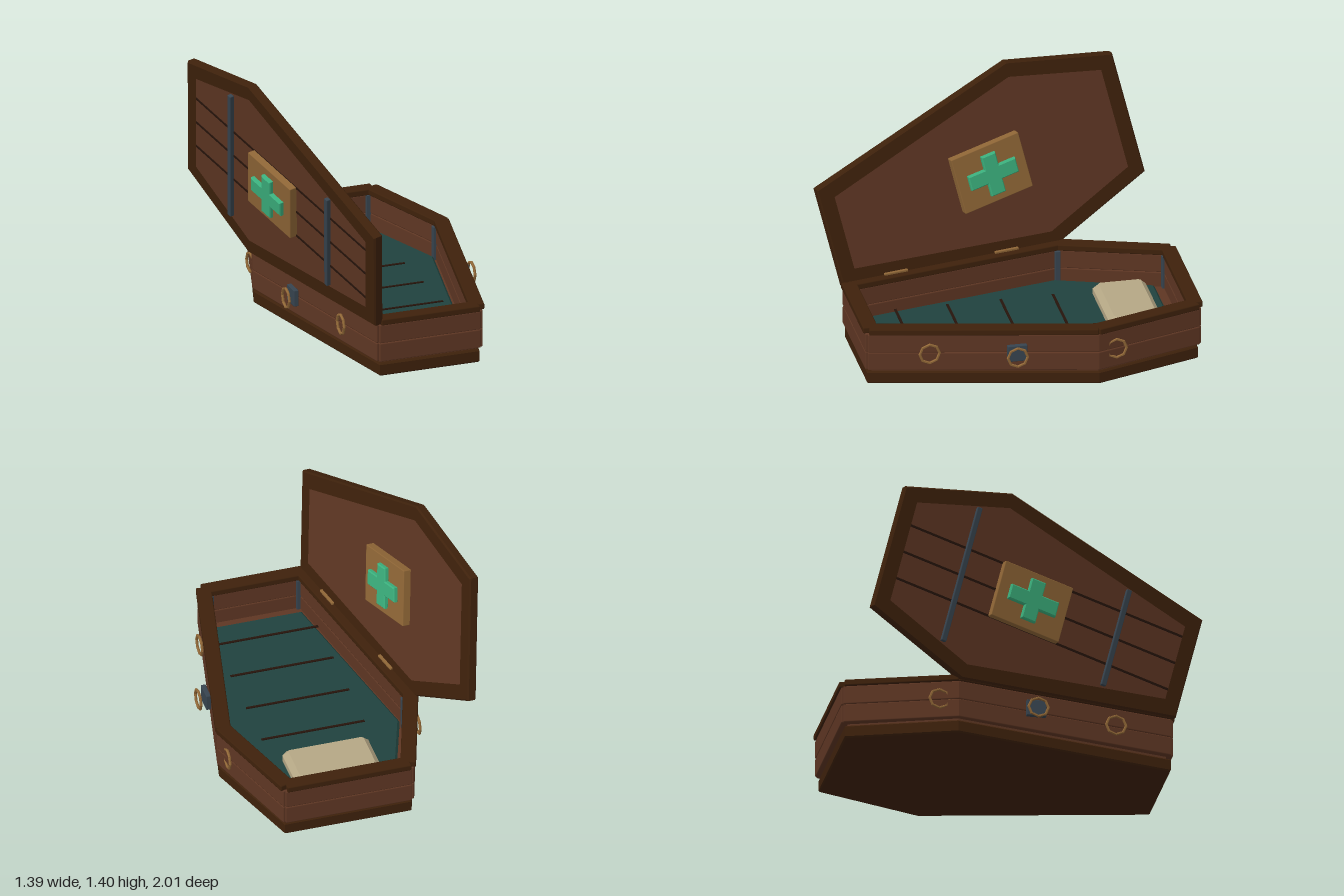
import * as THREE from 'three';
import { RoundedBoxGeometry } from 'three/addons/geometries/RoundedBoxGeometry.js';

const mat = (name, color) => Object.assign(new THREE.MeshStandardMaterial({ color }), { name });
const wood = mat('brown wood', 0x5e3623);
const darkWood = mat('dark wood', 0x3e210b);
const groove = mat('groove', 0x26140b);
const lining = mat('teal lining', 0x20423e);
const linen = mat('linen', 0xb5a785);
const steel = mat('steel', 0x37444f);
const brass = mat('brass', 0x8f6636);
const green = mat('green', 0x3bb07d);

const CX = 0.115; // the box stands off centre so that the open lid fits

// Six-sided outline as [x, z]: head, shoulder and foot half widths and depths
function hexagon(head, headZ, shoulder, shoulderZ, foot, footZ) {
  return [[head, headZ], [shoulder, shoulderZ], [foot, footZ],
    [-foot, footZ], [-shoulder, shoulderZ], [-head, headZ]];
}

function toShape(points, Kind = THREE.Shape) {
  return new Kind(points.map(([x, z]) => new THREE.Vector2(x, -z)));
}

function add(parent, name, geometry, material, x = 0, y = 0, z = 0) {
  const mesh = new THREE.Mesh(geometry, material);
  mesh.name = name;
  mesh.position.set(x, y, z);
  parent.add(mesh);
  return mesh;
}

// Horizontal slab from y0 to y1 with a small bevel inside its outline
function slab(parent, name, shape, y0, y1, material, bevel = 0.008) {
  const geometry = new THREE.ExtrudeGeometry(shape, {
    depth: y1 - y0 - 2 * bevel, bevelEnabled: bevel > 0, bevelSize: bevel,
    bevelThickness: bevel, bevelOffset: -bevel, bevelSegments: 1,
  });
  geometry.rotateX(-Math.PI / 2);
  return add(parent, name, geometry, material, 0, y0 + bevel, 0);
}

function block(parent, name, w, h, d, material, x, y, z, bevel = 0.005) {
  return add(parent, name, new RoundedBoxGeometry(w, h, d, 1, bevel), material, x, y, z);
}

// One straight bar along each edge of an outline
function barRing(parent, name, points, width, y0, y1, material, extra = 0) {
  points.forEach(([x, z], i) => {
    const [x2, z2] = points[(i + 1) % points.length];
    const length = Math.hypot(x2 - x, z2 - z) + extra;
    const bar = block(parent, name, width, y1 - y0, length, material,
      (x + x2) / 2, (y0 + y1) / 2, (z + z2) / 2, 0.007);
    bar.rotation.y = Math.atan2(x2 - x, z2 - z);
  });
}

function buildBox() {
  const box = new THREE.Group();
  box.name = 'box';
  box.position.x = CX;
  const wall = hexagon(0.345, -0.957, 0.533, -0.375, 0.28, 0.835);

  // Plinth, floor and plank walls
  slab(box, 'plinth', toShape(hexagon(0.36, -0.97, 0.557, -0.38, 0.29, 0.855)), 0, 0.073, darkWood);
  slab(box, 'floor', toShape(hexagon(0.345, -0.95, 0.54, -0.375, 0.28, 0.83)), 0.07, 0.11, wood, 0);
  barRing(box, 'lowerPlank', wall, 0.065, 0.088, 0.196, wood, 0.03);
  barRing(box, 'upperPlank', wall, 0.065, 0.196, 0.304, wood, 0.03);
  barRing(box, 'rim', wall, 0.085, 0.303, 0.339, darkWood, 0.015);

  // Posts in the inner corners
  for (const [x, z] of hexagon(0.315, -0.928, 0.493, -0.372, 0.25, 0.803)) {
    block(box, 'cornerPost', 0.03, 0.2, 0.03, steel, x, 0.205, z);
  }

  // Mattress with its seams
  slab(box, 'mattress', toShape(hexagon(0.3, -0.87, 0.478, -0.35, 0.248, 0.738)), 0.11, 0.14, lining, 0.012);
  for (const z of [-0.303, -0.012, 0.285, 0.575]) {
    add(box, 'seam', new THREE.BoxGeometry(0.585, 0.006, 0.014), groove, 0, 0.142, z);
  }

  // Pillow with cut corners and sloping sides
  const pillow = [[0.215, -0.803], [0.244, -0.776], [0.244, -0.535], [0.215, -0.508],
    [-0.215, -0.508], [-0.244, -0.535], [-0.244, -0.776], [-0.215, -0.803]];
  slab(box, 'pillow', toShape(pillow), 0.13, 0.225, linen, 0.03);

  // Ring handles on both long sides, the middle one on a plate
  for (const side of [1, -1]) {
    for (const [x, z] of [[0.395, 0.53], [0.54, 0.07], [0.54, -0.48]]) {
      const torus = new THREE.TorusGeometry(0.055, 0.008, 6, 8).toNonIndexed();
      torus.computeVertexNormals();
      const ring = add(box, 'ringHandle', torus, brass, side * x, 0.198, z);
      ring.rotation.y = Math.PI / 2;
    }
    block(box, 'handlePlate', 0.028, 0.095, 0.11, steel, side * 0.498, 0.207, 0.065);
  }
  return box;
}

function buildLid(outline) {
  const lid = new THREE.Group();
  lid.name = 'lid';

  // Frame around a panel that shows on both faces
  const inner = hexagon(0.303, -0.9, 0.483, -0.37, 0.226, 0.785);
  const frame = toShape(outline);
  frame.holes.push(toShape(inner, THREE.Path));
  slab(lid, 'lidFrame', frame, -0.0275, 0.0275, darkWood);
  slab(lid, 'lidPanel', toShape(hexagon(0.335, -0.945, 0.525, -0.372, 0.265, 0.83)), -0.021, 0.021, wood, 0);

  // Board joints and steel straps on the outer face
  for (const x of [-0.16, 0, 0.16]) {
    add(lid, 'boardJoint', new THREE.BoxGeometry(0.012, 0.006, 1.69), groove, x, 0.022, -0.057);
  }
  for (const [z, length] of [[-0.54, 0.81], [0.41, 0.58]]) {
    block(lid, 'strap', length, 0.026, 0.03, steel, 0, 0.034, z);
  }

  // Plaque and raised cross on each face
  const a = 0.043, w = 0.12, l = 0.145;
  const cross = [[a, -l], [a, -a], [w, -a], [w, a], [a, a], [a, l],
    [-a, l], [-a, a], [-w, a], [-w, -a], [-a, -a], [-a, -l]];
  for (const side of [1, -1]) {
    block(lid, 'plaque', 0.33, 0.05, 0.415, brass, 0, side * 0.04, -0.118);
    slab(lid, 'cross', toShape(cross), side * 0.075 - 0.015, side * 0.075 + 0.015, green, 0.006).position.z = -0.118;
  }
  return lid;
}

export function createModel() {
  const model = new THREE.Group();
  model.name = 'casket';
  model.add(buildBox());

  // The lid swings about the long edge on the right side
  const outline = hexagon(0.363, -0.98, 0.562, -0.378, 0.297, 0.865);
  const lidX = CX + 0.022, hingeY = 0.314;
  const foot = new THREE.Vector3(lidX + outline[3][0], hingeY, outline[3][1]);
  const shoulder = new THREE.Vector3(lidX + outline[4][0], hingeY, outline[4][1]);
  const axis = foot.clone().sub(shoulder).normalize();
  const pivot = new THREE.Group();
  pivot.name = 'lidPivot';
  pivot.position.copy(foot);
  pivot.quaternion.setFromAxisAngle(axis, 1.71);
  const lid = buildLid(outline);
  lid.position.set(lidX, hingeY + 0.0275, 0).sub(foot);
  pivot.add(lid);
  model.add(pivot);

  // Upright hinge leaves against the foot of the lid
  for (const z of [0.56, -0.085]) {
    const t = (foot.z - z) / (foot.z - shoulder.z);
    const p = foot.clone().lerp(shoulder, t);
    const hinge = block(model, 'hinge', 0.02, 0.05, 0.14, brass, p.x, 0.325, z, 0.004);
    hinge.rotation.y = Math.atan2(axis.x, axis.z);
  }
  return model;
}
